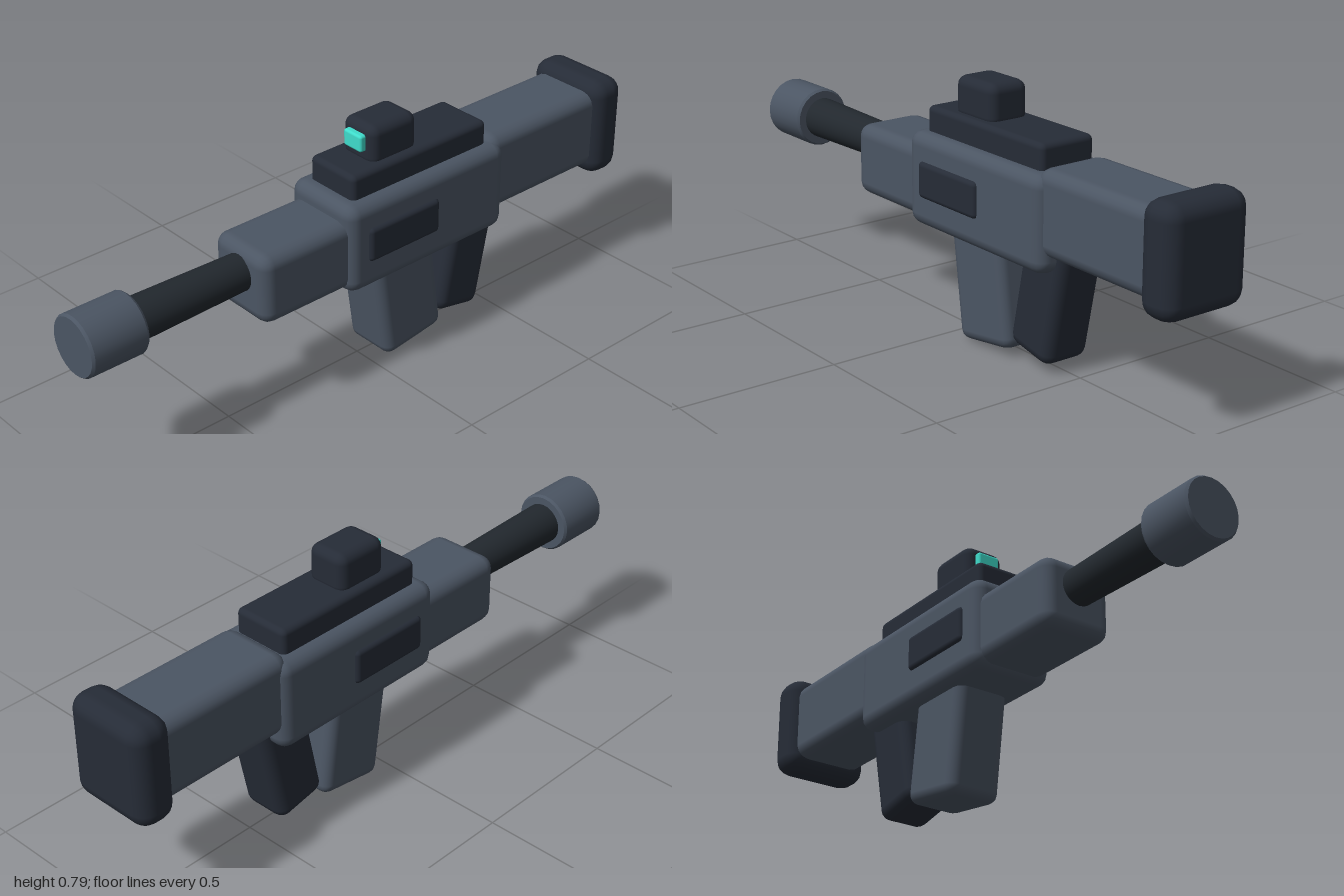
import * as THREE from 'three';
import { RoundedBoxGeometry } from 'three/addons/geometries/RoundedBoxGeometry.js';
import { toCreasedNormals } from 'three/addons/utils/BufferGeometryUtils.js';

const grey = new THREE.MeshStandardMaterial({ color: 0x4b5563 });
const dark = new THREE.MeshStandardMaterial({ color: 0x262c37 });
const black = new THREE.MeshStandardMaterial({ color: 0x22282e });
const teal = new THREE.MeshStandardMaterial({ color: 0x3fdccb });

export function createModel() {
  const model = new THREE.Group();

  function add(name, geometry, material, x, y, z, tilt = 0) {
    const mesh = new THREE.Mesh(geometry, material);
    mesh.name = name;
    mesh.position.set(x, y, z);
    mesh.rotation.x = tilt;
    model.add(mesh);
    return mesh;
  }

  // Rounded block given by its size, corner radius and centre
  function block(name, material, [w, h, d], radius, [x, y, z], tilt) {
    return add(name, new RoundedBoxGeometry(w, h, d, 2, radius), material, x, y, z, tilt);
  }

  // Round part turned around the barrel axis; profile is [radius, z]
  function turned(name, material, profile) {
    const points = profile.map(([r, z]) => new THREE.Vector2(r, z));
    const geometry = toCreasedNormals(new THREE.LatheGeometry(points, 24), 0.5);
    geometry.rotateX(Math.PI / 2);
    return add(name, geometry, material, 0, 0.478, 0);
  }

  // Main body, front to back
  block('handguard', grey, [0.234, 0.222, 0.36], 0.04, [0, 0.45, 0.264]);
  block('receiver', grey, [0.274, 0.288, 0.626], 0.04, [0, 0.468, -0.169]);
  block('stock', grey, [0.24, 0.254, 0.5], 0.04, [0, 0.503, -0.68]);
  block('buttPad', dark, [0.29, 0.325, 0.128], 0.05, [0, 0.502, -0.936]);

  // Barrel, widening towards the muzzle
  turned('barrel', black, [[0, 0.4], [0.056, 0.4], [0.065, 0.84], [0, 0.84]]);
  turned('muzzle', grey, [
    [0, 0.815], [0.088, 0.815], [0.094, 0.823], [0.094, 0.992], [0.088, 1], [0, 1],
  ]);

  // Side panels
  for (const side of [1, -1]) {
    block(side > 0 ? 'leftPanel' : 'rightPanel', dark,
      [0.04, 0.112, 0.274], 0.015, [side * 0.128, 0.476, -0.061]);
  }

  // Top rail and sight
  block('topRail', dark, [0.188, 0.1, 0.532], 0.018, [0, 0.638, -0.167]);
  block('sight', dark, [0.136, 0.13, 0.178], 0.03, [0, 0.731, -0.088]);
  block('sightLens', teal, [0.075, 0.053, 0.04], 0.008, [0, 0.742, 0]);

  // Magazine and rear grip, leaning apart at the top
  block('magazine', grey, [0.18, 0.4, 0.232], 0.032, [0, 0.214, -0.136], 0.14);
  block('grip', dark, [0.16, 0.42, 0.178], 0.035, [0, 0.25, -0.395], -0.2);

  return model;
}
